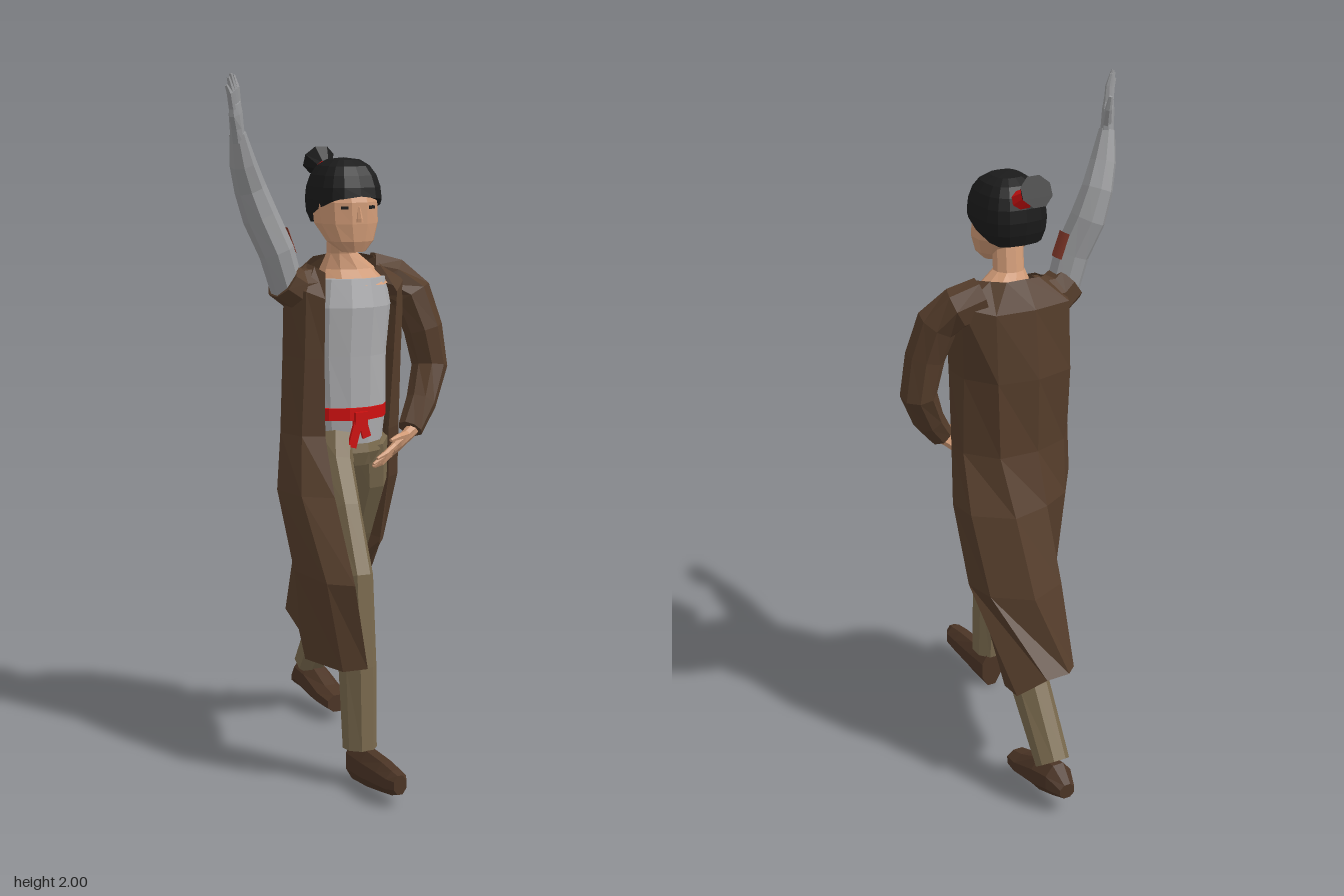
import * as THREE from 'three';

const V = (a) => new THREE.Vector3(a[0], a[1], a[2]);
const X = [1, 0, 0], Y = [0, 1, 0], Z = [0, 0, 1];

// Flat-shaded skin over rings of points; optional closing of loops and end caps
function loft(rings, closed = true) {
  const pos = [];
  const tri = (...p) => p.forEach((v) => pos.push(v.x, v.y, v.z));
  const n = rings[0].length;
  for (let i = 0; i < rings.length - 1; i++) {
    for (let j = 0; j < (closed ? n : n - 1); j++) {
      const k = (j + 1) % n;
      const a = rings[i][j], b = rings[i][k], c = rings[i + 1][j], d = rings[i + 1][k];
      tri(a, b, c);
      tri(b, d, c);
    }
  }
  if (closed) {
    const last = rings[rings.length - 1];
    for (let j = 1; j < n - 1; j++) {
      tri(rings[0][0], rings[0][j + 1], rings[0][j]);
      tri(last[0], last[j], last[j + 1]);
    }
  }
  const g = new THREE.BufferGeometry();
  g.setAttribute('position', new THREE.Float32BufferAttribute(pos, 3));
  g.computeVertexNormals();
  return g;
}

// Limb through [x, y, z, radius along ref, other radius]; a fixed axis keeps the rings parallel
function limb(path, ref = X, axis = null, sides = 8) {
  const c = path.map(V);
  return loft(path.map((p, i) => {
    const t = axis ? V(axis)
      : c[Math.min(i + 1, c.length - 1)].clone().sub(c[Math.max(i - 1, 0)]).normalize();
    const s = V(ref).addScaledVector(t, -V(ref).dot(t)).normalize();
    const o = t.clone().cross(s);
    return Array.from({ length: sides }, (_, j) => {
      const a = (j + 0.5) / sides * Math.PI * 2;
      return c[i].clone().addScaledVector(s, Math.cos(a) * p[3] * 1.06)
        .addScaledVector(o, Math.sin(a) * (p[4] ?? p[3]) * 1.06);
    });
  }));
}

export function createModel() {
  const root = new THREE.Group();
  root.name = 'wavingFigure';
  const mat = (name, color, extra = {}) => {
    const m = new THREE.MeshStandardMaterial({ color, ...extra });
    m.name = name;
    return m;
  };
  const coat = mat('coatBrown', 0x553d2b, { side: THREE.DoubleSide });
  const pants = mat('trouserKhaki', 0x7a6a4e);
  const shoe = mat('shoeBrown', 0x4c3526);
  const skin = mat('skin', 0xd09a76);
  const hair = mat('hairBlack', 0x1b1b1b);
  const shirt = mat('shirtGrey', 0xacacae);
  const metal = mat('armGrey', 0x98999b);
  const red = mat('sashRed', 0xd01010);
  const mark = mat('markRust', 0x84392a, { side: THREE.DoubleSide });

  const add = (name, geo, m, at) => {
    const mesh = new THREE.Mesh(geo, m);
    mesh.name = name;
    if (at) mesh.position.set(...at);
    root.add(mesh);
    return mesh;
  };

  // Torso, pelvis and neck
  add('shirt', limb([[.045, .94, 0, .1, .078], [.045, 1.04, 0, .112, .084], [.045, 1.2, -.015, .118, .098],
    [.052, 1.34, -.015, .125, .1], [.055, 1.42, -.02, .11, .085]], X, Y, 12), shirt);
  add('pelvis', limb([[.05, .88, .015, .06, .055], [.045, .92, .01, .1, .075], [.045, .96, 0, .1, .075]], X, Y, 12), pants);
  add('neck', limb([[.07, 1.4, -.02, .105, .088], [.06, 1.445, -.03, .078, .062], [.038, 1.49, -.02, .042, .042],
    [.03, 1.57, 0, .042, .042]], X, Y, 10), skin);

  // Sash with knot and hanging ends
  add('sash', limb([[.038, 1.018, .005, .116, .089], [.038, 1.053, .005, .116, .089]], X, Y, 12), red);
  add('sashKnot', new THREE.BoxGeometry(.04, .035, .02), red, [.038, 1.025, .098]);
  [[.02, .98, .08, -.28], [.05, .992, .05, .3]].forEach(([x, y, length, tilt]) => {
    add('sashEnd', new THREE.BoxGeometry(.026, length, .009), red, [x, y, .1]).rotation.z = tilt;
  });

  // Long open coat: each ring runs from the right front edge around the back to the left front edge
  const collar = [[-.045, 1.44, .04], [-.06, 1.455, 0], [-.06, 1.46, -.05], [-.02, 1.475, -.09], [.03, 1.48, -.1],
    [.09, 1.48, -.1], [.125, 1.48, -.07], [.145, 1.475, -.03], [.145, 1.43, .05]];
  const shoulders = [[-.065, 1.37, .08], [-.11, 1.39, .05], [-.14, 1.4, -.03], [-.1, 1.4, -.12], [.02, 1.4, -.14],
    [.14, 1.4, -.13], [.22, 1.42, -.08], [.22, 1.41, .02], [.165, 1.38, .08]];
  const chest = [[-.07, 1.2, .085], [-.12, 1.2, .06], [-.14, 1.2, -.03], [-.1, 1.2, -.13], [.02, 1.2, -.16],
    [.14, 1.2, -.14], [.2, 1.2, -.05], [.2, 1.2, .04], [.155, 1.2, .08]];
  const waist = [[-.075, .98, .1], [-.135, .98, .07], [-.16, .98, -.02], [-.09, .98, -.115], [.02, .98, -.155],
    [.14, .98, -.15], [.21, .98, -.06], [.205, .98, .02], [.145, .98, .07]];
  const hip = [[-.09, .82, .19], [-.165, .82, .13], [-.185, .82, .01], [-.085, .82, -.135], [.01, .82, -.19],
    [.13, .82, -.22], [.23, .82, -.14], [.235, .82, -.04], [.18, .82, .005]];
  const thigh = [[-.1, .6, .335], [-.16, .6, .28], [-.175, .6, .1], [-.06, .6, -.13], [0, .6, -.255],
    [.12, .6, -.31], [.22, .6, -.23], [.235, .6, -.13], [.185, .6, -.06]];
  const hem = [[-.065, .36, .345], [-.125, .35, .31], [-.15, .34, .12], [-.05, .35, -.13], [-.002, .36, -.325],
    [.06, .39, -.4], [.13, .385, -.395], [.2, .33, -.345], [.175, .3, -.23]];
  add('coat', loft([collar, shoulders, chest, waist, hip, thigh, hem].map((r) => r.map(V)), false), coat);

  // Sleeves: the left one is long, the right one ends at the shoulder
  add('leftSleeve', limb([[.14, 1.425, -.05, .06], [.21, 1.405, -.035, .06], [.255, 1.36, 0, .058], [.285, 1.26, .02, .054],
    [.305, 1.15, .025, .05], [.255, 1.05, .065, .043], [.2, .98, .1, .035]], Z), coat);
  add('rightSleeve', limb([[-.05, 1.39, -.03, .07, .06], [-.11, 1.39, -.025, .066, .058],
    [-.15, 1.418, -.022, .062, .054]], Z), coat);

  // Raised grey arm with a mark on its inner side
  add('raisedArm', limb([[-.135, 1.39, -.02, .048, .045], [-.17, 1.5, -.018, .05, .048], [-.213, 1.6, -.033, .053, .048],
    [-.245, 1.68, -.03, .044, .043], [-.275, 1.75, -.01, .036, .036], [-.3, 1.835, .01, .022]], Z), metal);
  add('armMark', new THREE.CylinderGeometry(.052, .052, .075, 4, 1, true, .95, 1.15), mark,
    [-.174, 1.515, -.02]).rotation.z = .36;

  // Hands: palm, four fingers and a thumb laid out along dir and side
  function hand(name, m, wrist, dir, side, len) {
    const d = V(dir).normalize();
    const s = V(side).addScaledVector(d, -V(side).dot(d)).normalize();
    const nrm = d.clone().cross(s);
    const at = (a, b, c, ...r) => [...V(wrist).addScaledVector(d, a * len).addScaledVector(s, b * len)
      .addScaledVector(nrm, c * len).toArray(), ...r.map((v) => v * len)];
    const ref = s.toArray();
    add(name + 'Palm', limb([at(-.08, 0, 0, .13, .11), at(.15, 0, 0, .16, .1), at(.38, 0, 0, .22, .09),
      at(.54, 0, 0, .2, .07)], ref), m);
    [[-.15, .88], [-.05, .97], [.05, 1], [.15, .94]].forEach(([b, tip]) => {
      add(name + 'Finger', limb([at(.48, b, 0, .055), at(.75, b * 1.2, .01, .05), at(tip, b * 1.35, .05, .026)], ref, null, 6), m);
    });
    add(name + 'Thumb', limb([at(.15, .1, 0, .07), at(.38, .27, .04, .055), at(.58, .36, .08, .028)], ref, null, 6), m);
  }
  hand('rightHand', metal, [-.3, 1.825, .01], [-.16, 1, .18], [.65, 0, -.75], .175);
  hand('leftHand', skin, [.198, .972, .103], [-.8, -.52, .22], [-.3, .5, .8], .165);

  // Legs in mid-stride
  add('rightLeg', limb([[-.01, .96, .02, .06, .07], [-.03, .88, .055, .054, .08], [-.045, .76, .14, .05, .08],
    [-.055, .6, .235, .05, .07], [-.055, .35, .262, .049, .06], [-.055, .11, .278, .045, .05]], X), pants);
  add('leftLeg', limb([[.105, .95, 0, .06, .07], [.122, .83, -.03, .056, .078], [.124, .68, -.1, .05, .074],
    [.126, .5, -.2, .05, .07], [.132, .32, -.31, .05, .064], [.135, .14, -.435, .046, .05]], X), pants);

  // Shoes, heel to toe
  add('rightShoe', limb([[-.045, .06, .237, .034, .058], [-.045, .062, .33, .036, .053], [-.045, .067, .42, .036, .044],
    [-.045, .068, .475, .033, .036], [-.045, .068, .5, .02, .028]], X, Z), shoe);
  add('leftShoe', limb([[.125, .075, -.5, .024, .022], [.135, .1, -.465, .042, .05], [.14, .09, -.4, .046, .055],
    [.14, .066, -.3, .046, .035], [.14, .057, -.245, .036, .027]], X, Z), shoe);

  // Head and face
  add('head', limb([[.03, 1.5, .068, .034, .026], [.03, 1.53, .048, .066, .057], [.03, 1.58, .022, .088, .085],
    [.03, 1.64, .014, .09, .09], [.03, 1.68, .008, .078, .08]], X, Y, 12), skin);
  add('nose', limb([[.028, 1.585, .105, .011, .016], [.028, 1.595, .107, .009, .013], [.028, 1.63, .1, .005, .008]], X, Y, 6), skin);
  [-1, 1].forEach((k) => {
    add('eye', new THREE.BoxGeometry(.02, .009, .008), hair, [.028 + k * .042, 1.626, .1]).rotation.y = k * .3;
  });

  // Boxy hair cap, with its edge rising from the nape to the forehead
  let cap = new THREE.SphereGeometry(1, 16, 10);
  const p = cap.attributes.position;
  const square = (v) => Math.sign(v) * Math.abs(v) ** .72;
  for (let i = 0; i < p.count; i++) {
    const x = square(p.getX(i)), z = square(p.getZ(i)) * .112;
    const edge = 1.605 + THREE.MathUtils.clamp(z * .45, -.05, .04) + (z > 0 ? .012 * (1 - Math.abs(x)) : 0);
    p.setXYZ(i, .032 + x * .1, Math.max(1.645 + p.getY(i) * .117, edge), z);
  }
  cap = cap.toNonIndexed();
  cap.computeVertexNormals();
  add('hairCap', cap, hair);

  // Tied tuft of hair, flaring to a flat end
  add('hairTie', limb([[.036, 1.705, -.09, .034, .027], [.036, 1.733, -.137, .024, .019]], X), red);
  add('hairTuft', limb([[.036, 1.728, -.125, .022, .016], [.036, 1.748, -.168, .047, .044]], X), hair);
  return root;
}
